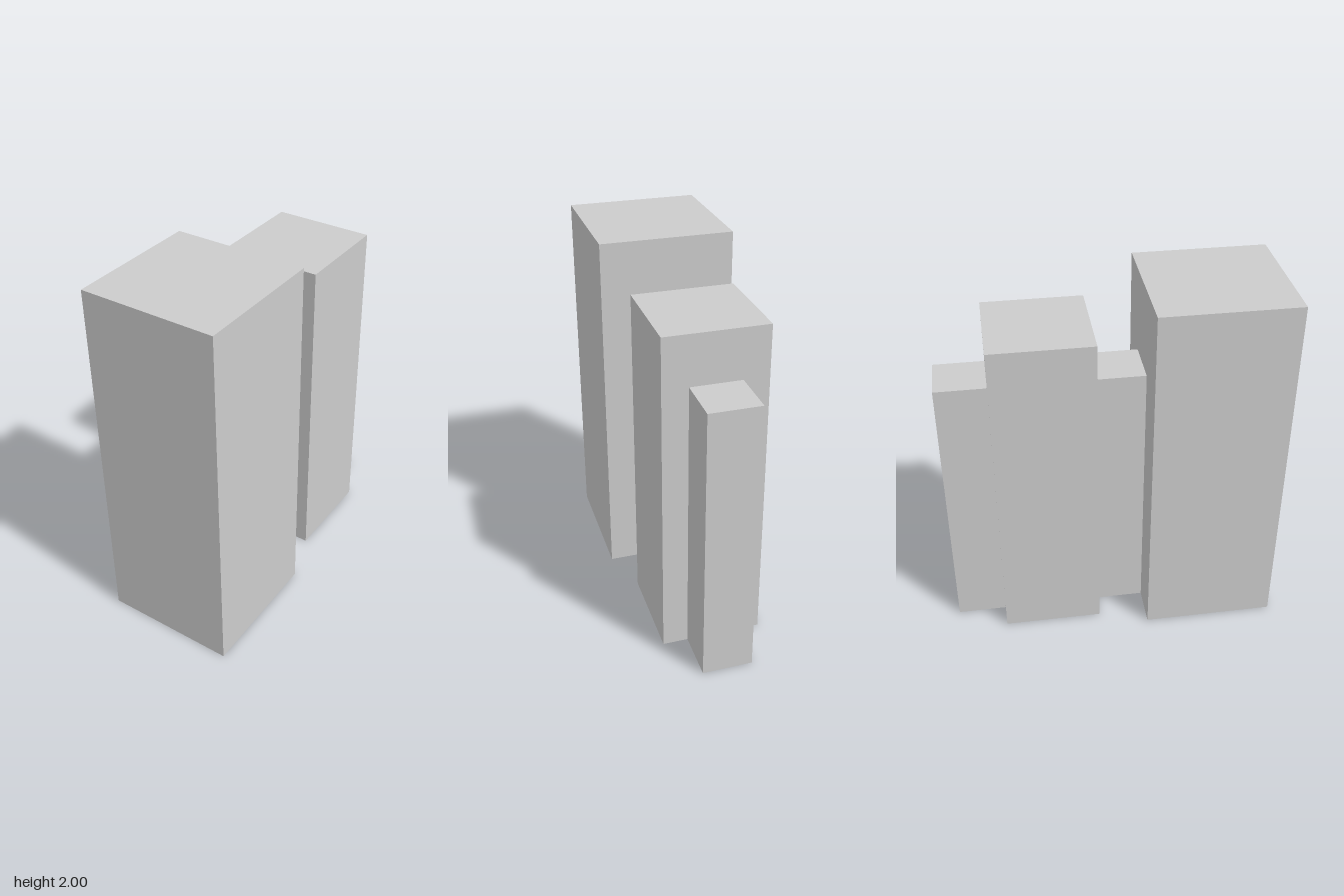
import * as THREE from 'three';

// All sizes are whole multiples of one module
const U = 2 / 22;

export function createModel() {
  const group = new THREE.Group();
  const material = new THREE.MeshStandardMaterial({ color: 0xcccccc, flatShading: true });

  // Blocks in a row from front to back: name, width, height, depth
  const blocks = [
    ['frontTower', 8, 22, 8],
    ['middleConnector', 3, 17, 3],
    ['rearTower', 6, 20, 6],
    ['backPillar', 3, 17, 3],
  ];

  let front = 10; // front face of the next block
  for (const [name, width, height, depth] of blocks) {
    const block = new THREE.Mesh(new THREE.BoxGeometry(width * U, height * U, depth * U), material);
    block.name = name;
    block.position.set(0, (height / 2) * U, (front - depth / 2) * U);
    group.add(block);
    front -= depth;
  }
  return group;
}
